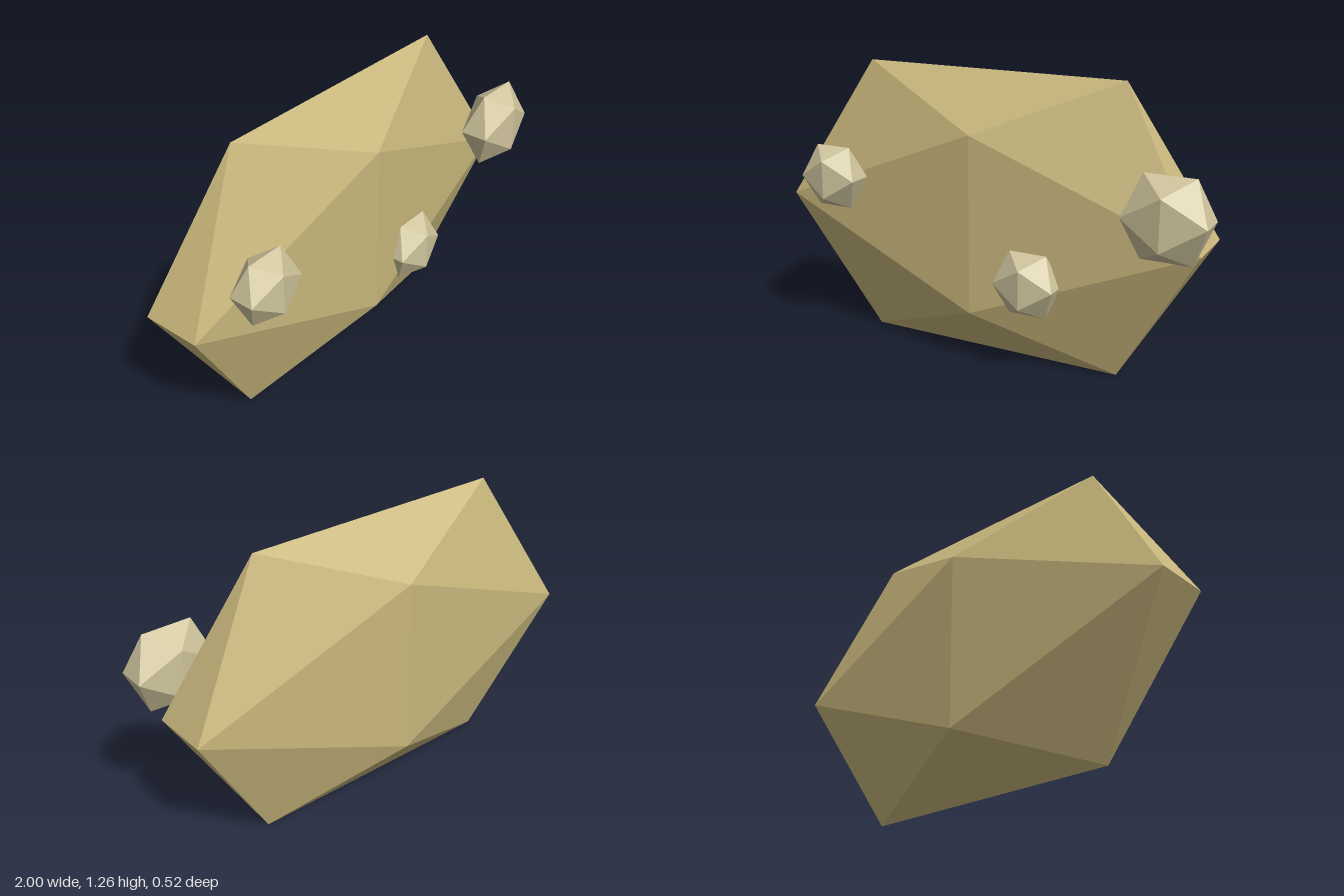
import * as THREE from 'three';

export function createModel() {
  const model = new THREE.Group();
  model.name = 'sandstoneSlab';

  const sand = new THREE.MeshStandardMaterial({ color: 0xc9b77c, flatShading: true });
  sand.name = 'sand';
  const paleStone = new THREE.MeshStandardMaterial({ color: 0xcfc49c, flatShading: true });
  paleStone.name = 'pale stone';

  // A faceted stone: an icosahedron stretched along its axes
  function addStone(name, material, position, radii) {
    const geometry = new THREE.IcosahedronGeometry(1, 0);
    geometry.scale(...radii);
    geometry.computeVertexNormals();
    const mesh = new THREE.Mesh(geometry, material);
    mesh.name = name;
    mesh.position.set(...position);
    model.add(mesh);
  }

  // Large flattened body
  addStone('slab', sand, [-0.031, 0.629, -0.056], [1.139, 0.739, 0.241]);

  // Small pebbles on the front
  addStone('rightPebble', paleStone, [-0.705, 0.765, 0.157], [0.159, 0.16, 0.105]);
  addStone('middlePebble', paleStone, [0.236, 0.415, 0.133], [0.159, 0.16, 0.105]);
  addStone('leftPebble', paleStone, [0.829, 0.791, 0.16], [0.2, 0.2, 0.12]);

  return model;
}
